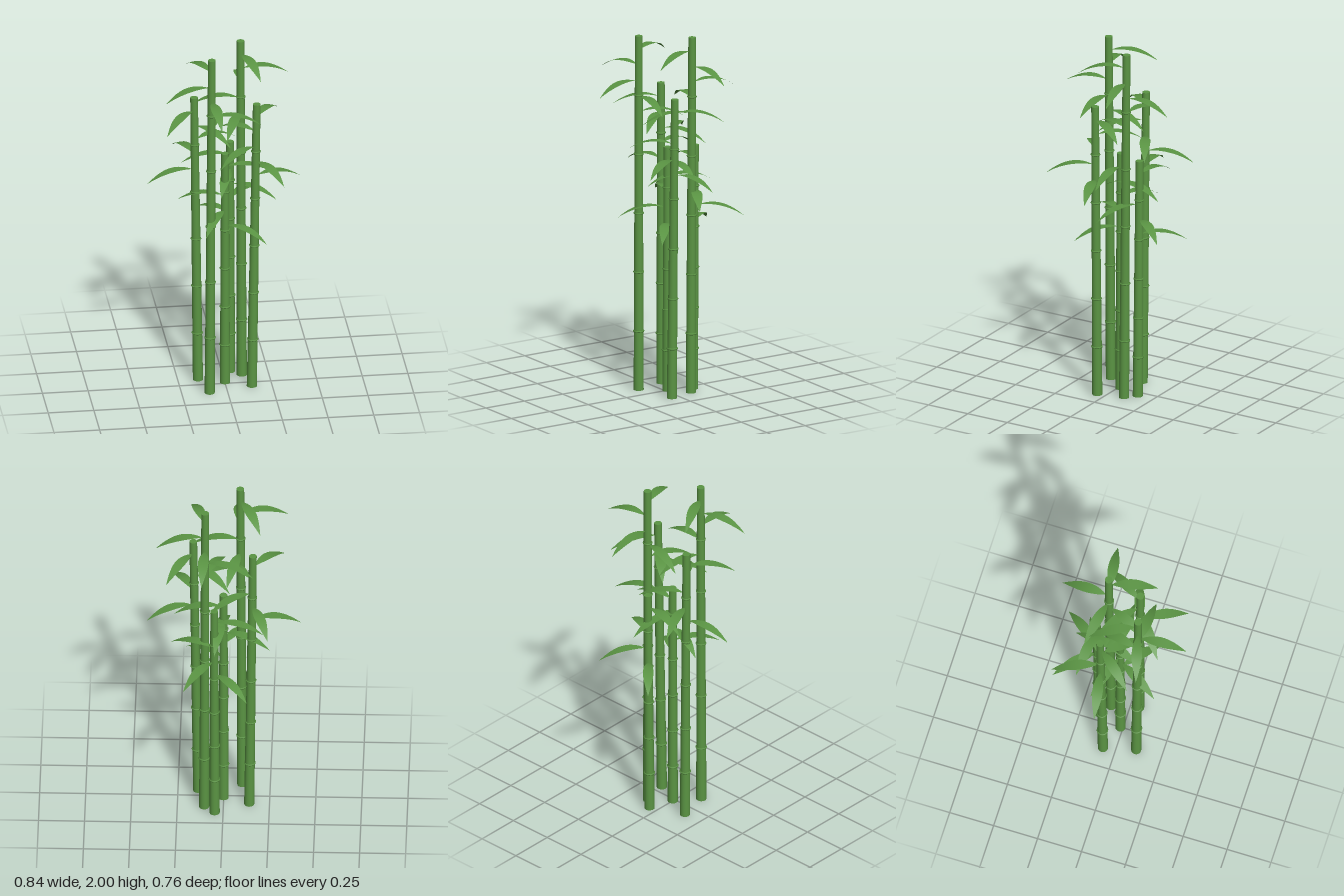
import * as THREE from 'three';

const green = new THREE.MeshStandardMaterial({ color: 0x5a9443, side: THREE.DoubleSide });
green.name = 'bambooGreen';

// height, bottom x/z, top x/z, heading of the highest leaf in degrees
const STALKS = [
  [2.0, 0.104, -0.1, 0.098, -0.112, 73],
  [1.69, -0.14, -0.07, -0.16, -0.08, 130.3],
  [1.375, 0.046, -0.152, 0.048, -0.164, 187.6],
  [2.0, -0.098, 0.106, -0.087, 0.113, 244.9],
  [1.69, 0.14, 0.048, 0.167, 0.046, 302.2],
  [1.375, 0.001, -0.015, 0.001, -0.016, 359.5],
];
const R_BOTTOM = 0.028, R_TOP = 0.021, SEGMENTS = 6, LEAVES = 5;

// Pointed blade along +x that rises a little, then droops
function leafGeometry() {
  const geo = new THREE.PlaneGeometry(1, 1, 14, 2);
  geo.rotateX(-Math.PI / 2);
  const p = geo.attributes.position;
  for (let i = 0; i < p.count; i++) {
    const t = p.getX(i) + 0.5;
    const side = p.getZ(i) * 2;
    const half = 0.029 * Math.sin(Math.PI * Math.pow(t, 0.88));
    p.setXYZ(i, 0.015 + 0.255 * t, 0.0825 * t - 0.1375 * t * t, side * half);
  }
  geo.computeVertexNormals();
  return geo;
}

export function createModel() {
  const model = new THREE.Group();
  model.name = 'bambooClump';
  const blade = leafGeometry();

  STALKS.forEach(([h, x0, z0, x1, z1, heading]) => {
    const plant = new THREE.Group();
    plant.name = 'bambooPlant';
    model.add(plant);
    const at = (y) => new THREE.Vector3(
      THREE.MathUtils.lerp(x0, x1, y / h), y, THREE.MathUtils.lerp(z0, z1, y / h));

    // Tapered stalk, sheared to its slight lean
    const geo = new THREE.CylinderGeometry(R_TOP, R_BOTTOM, h, 16, SEGMENTS);
    geo.translate(0, h / 2, 0);
    const p = geo.attributes.position;
    for (let i = 0; i < p.count; i++) {
      const c = at(p.getY(i));
      p.setXYZ(i, p.getX(i) + c.x, p.getY(i), p.getZ(i) + c.z);
    }
    const stalk = new THREE.Mesh(geo, green);
    stalk.name = 'stalk';
    plant.add(stalk);

    // Raised joint rings
    for (let i = 1; i < SEGMENTS; i++) {
      const r = THREE.MathUtils.lerp(R_BOTTOM, R_TOP, i / SEGMENTS);
      const ring = new THREE.Mesh(new THREE.TorusGeometry(r, 0.005, 6, 16), green);
      ring.name = 'jointRing';
      ring.rotation.x = Math.PI / 2;
      ring.position.copy(at(h * i / SEGMENTS));
      plant.add(ring);
    }

    // Leaves spiral down from the tip
    for (let k = 0; k < LEAVES; k++) {
      const leaf = new THREE.Mesh(blade, green);
      leaf.name = 'leaf';
      leaf.position.copy(at(h - 0.077 - 0.0875 * k));
      leaf.rotation.y = -THREE.MathUtils.degToRad(heading - 80 * k);
      plant.add(leaf);
    }
  });
  return model;
}
